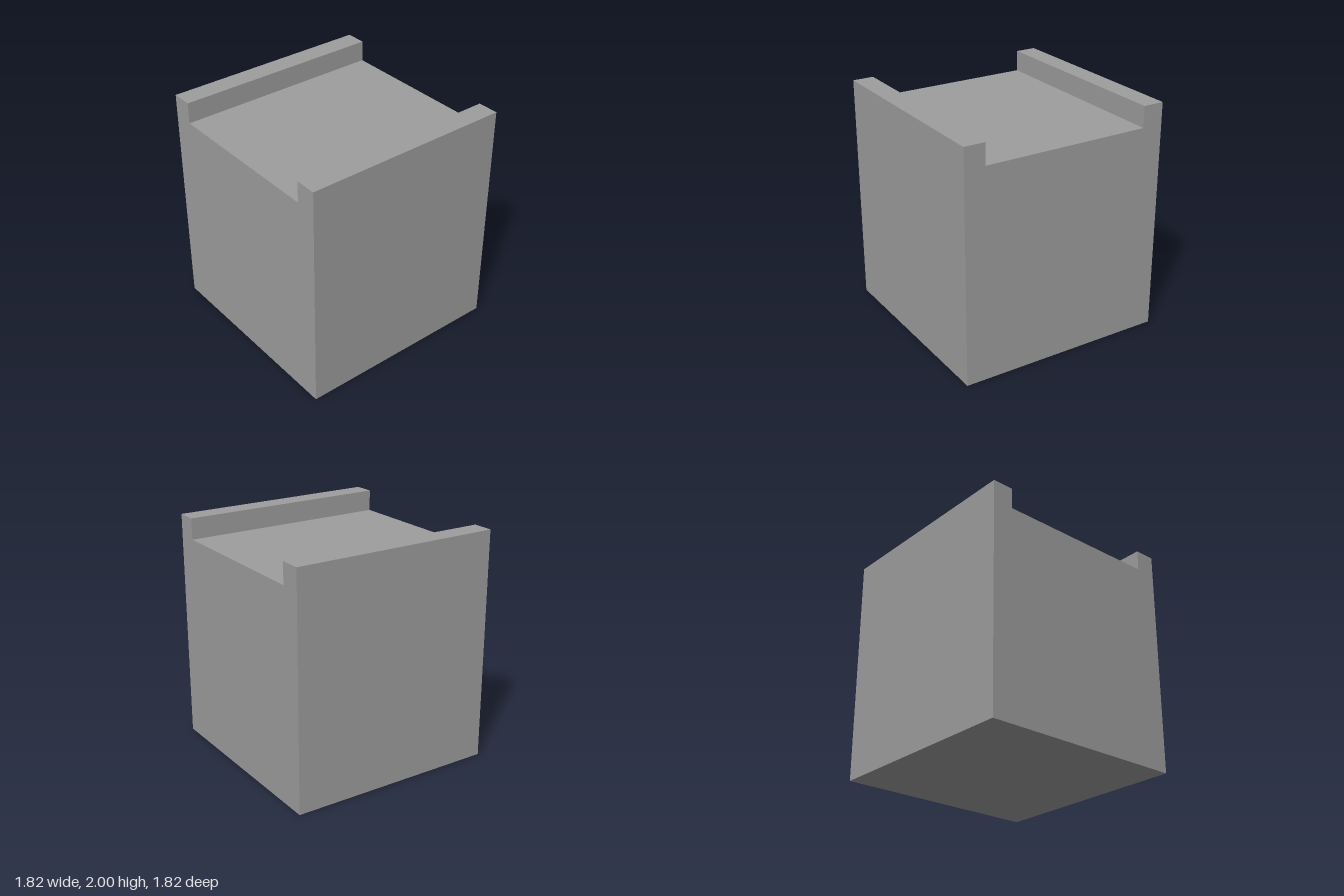
import * as THREE from 'three';

export function createModel() {
  const group = new THREE.Group();
  group.name = 'railedBlock';

  const half = 0.909;   // half width and half depth
  const inner = 0.727;  // inner face of each rail
  const floor = 1.818;  // height of the channel floor
  const top = 2;        // height of the rails

  // Side profile: a block with a raised rail along its front and back edges
  const profile = new THREE.Shape([
    [-half, 0], [half, 0], [half, top], [inner, top],
    [inner, floor], [-inner, floor], [-inner, top], [-half, top],
  ].map(([z, y]) => new THREE.Vector2(z, y)));

  // Run the profile across the full width
  const geometry = new THREE.ExtrudeGeometry(profile, { depth: half * 2, bevelEnabled: false });
  geometry.translate(0, 0, -half).rotateY(Math.PI / 2);

  const block = new THREE.Mesh(
    geometry,
    new THREE.MeshStandardMaterial({ color: 0x9d9d9d, flatShading: true })
  );
  block.name = 'blockWithRails';
  group.add(block);
  return group;
}
